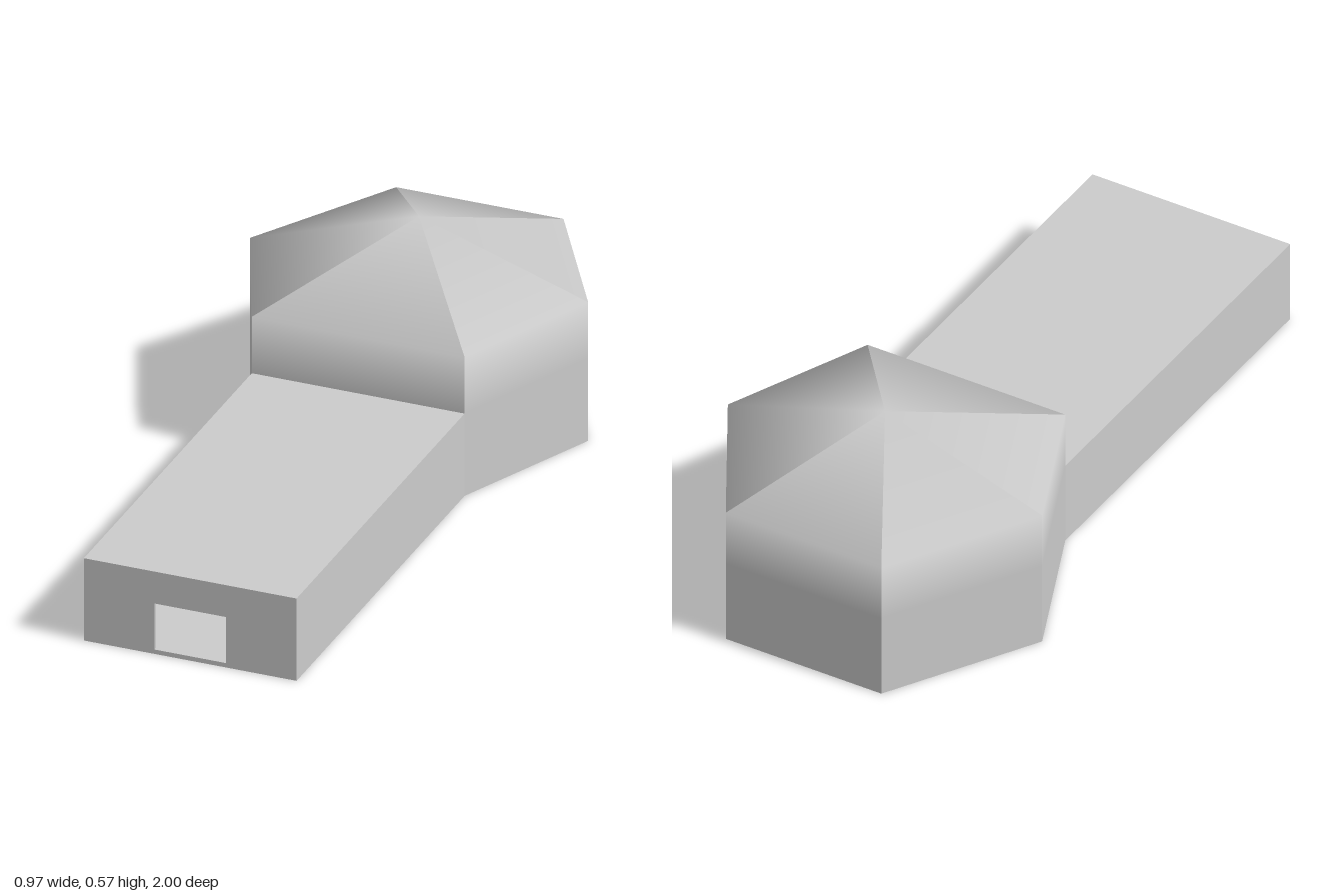
import * as THREE from 'three';

const T = 0.013;                       // wall and floor thickness
const HALL = { w: 0.305, h: 0.245, front: 1, back: -0.16 };
const EAVE = 0.413;
const APEX = new THREE.Vector3(0, 0.573, -0.58);

// Hexagon corners (x, z), starting with the side that meets the hall
const CORNERS = [[-0.305, -0.16], [0.305, -0.16], [0.485, -0.58], [0.24, -1], [-0.24, -1], [-0.485, -0.58]];

const solid = new THREE.MeshStandardMaterial({ color: 0xcccccc });
const shell = new THREE.MeshStandardMaterial({ color: 0xcccccc, side: THREE.DoubleSide });

function add(group, name, geometry, material = solid) {
  const mesh = new THREE.Mesh(geometry, material);
  mesh.name = name;
  group.add(mesh);
  return mesh;
}

function polygon(points) {
  return new THREE.Shape(points.map(([x, y]) => new THREE.Vector2(x, y)));
}

// Walls and roof facets: hard between sides, softly rounded over the eaves
function rotundaGeometry() {
  const pos = [], nor = [];
  const tri = (...verts) => verts.forEach(([p, n]) => {
    pos.push(p.x, p.y, p.z);
    nor.push(n.x, n.y, n.z);
  });
  const up = new THREE.Vector3(0, 1, 0);
  CORNERS.forEach((a, i) => {
    const b = CORNERS[(i + 1) % CORNERS.length];
    const at = (c, y) => new THREE.Vector3(c[0], y, c[1]);
    const wallN = new THREE.Vector3(a[1] - b[1], 0, b[0] - a[0]).normalize();
    const edge = at(b, EAVE).sub(at(a, EAVE));
    const roofN = edge.cross(APEX.clone().sub(at(a, EAVE))).normalize();
    const eaveN = wallN.clone().add(roofN).normalize();
    const band = (y0, y1, n1) => {
      const p = [[at(a, y0), wallN], [at(b, y0), wallN], [at(b, y1), n1], [at(a, y1), n1]];
      tri(p[0], p[1], p[2]);
      tri(p[0], p[2], p[3]);
    };
    if (i > 0) band(T, HALL.h, wallN);   // the first side is open to the hall
    band(HALL.h, EAVE, eaveN);
    tri([at(a, EAVE), eaveN], [at(b, EAVE), eaveN], [APEX, up]);
  });
  const g = new THREE.BufferGeometry();
  g.setAttribute('position', new THREE.Float32BufferAttribute(pos, 3));
  g.setAttribute('normal', new THREE.Float32BufferAttribute(nor, 3));
  return g;
}

export function createModel() {
  const model = new THREE.Group();
  model.name = 'building';
  const { w, h, front, back } = HALL;

  // Floor slab under hall and rotunda
  const outline = polygon([[-w, front], [w, front], ...CORNERS.slice(1), CORNERS[0]]);
  const floor = new THREE.ExtrudeGeometry(outline, { depth: T, bevelEnabled: false });
  floor.rotateX(Math.PI / 2);
  floor.translate(0, T, 0);
  add(model, 'floor', floor);

  // Front wall with the doorway cut out
  const d = 0.103, top = 0.15;
  const wall = polygon([[-w, T], [-d, T], [-d, top], [d, top], [d, T], [w, T], [w, h], [-w, h]]);
  add(model, 'frontWall', new THREE.ExtrudeGeometry(wall, { depth: T, bevelEnabled: false }))
    .position.z = front - T;

  // Hall sides and flat roof
  const length = front - T - back, midZ = (front - T + back) / 2;
  for (const s of [-1, 1]) {
    add(model, s > 0 ? 'leftHallWall' : 'rightHallWall', new THREE.BoxGeometry(T, h - T, length))
      .position.set(s * (w - T / 2), (h + T) / 2, midZ);
  }
  add(model, 'hallRoof', new THREE.BoxGeometry(2 * (w - T), T, length))
    .position.set(0, h - T / 2, midZ);

  // Six-sided hall end with pointed roof
  add(model, 'rotunda', rotundaGeometry(), shell);

  // Low pointed mound inside the rotunda
  const mound = new THREE.ConeGeometry(0.34, 0.125 - T, 6, 1, true).toNonIndexed();
  mound.rotateY(Math.PI / 2);
  mound.computeVertexNormals();
  add(model, 'innerMound', mound).position.set(0, (0.125 + T) / 2, APEX.z);

  return model;
}
